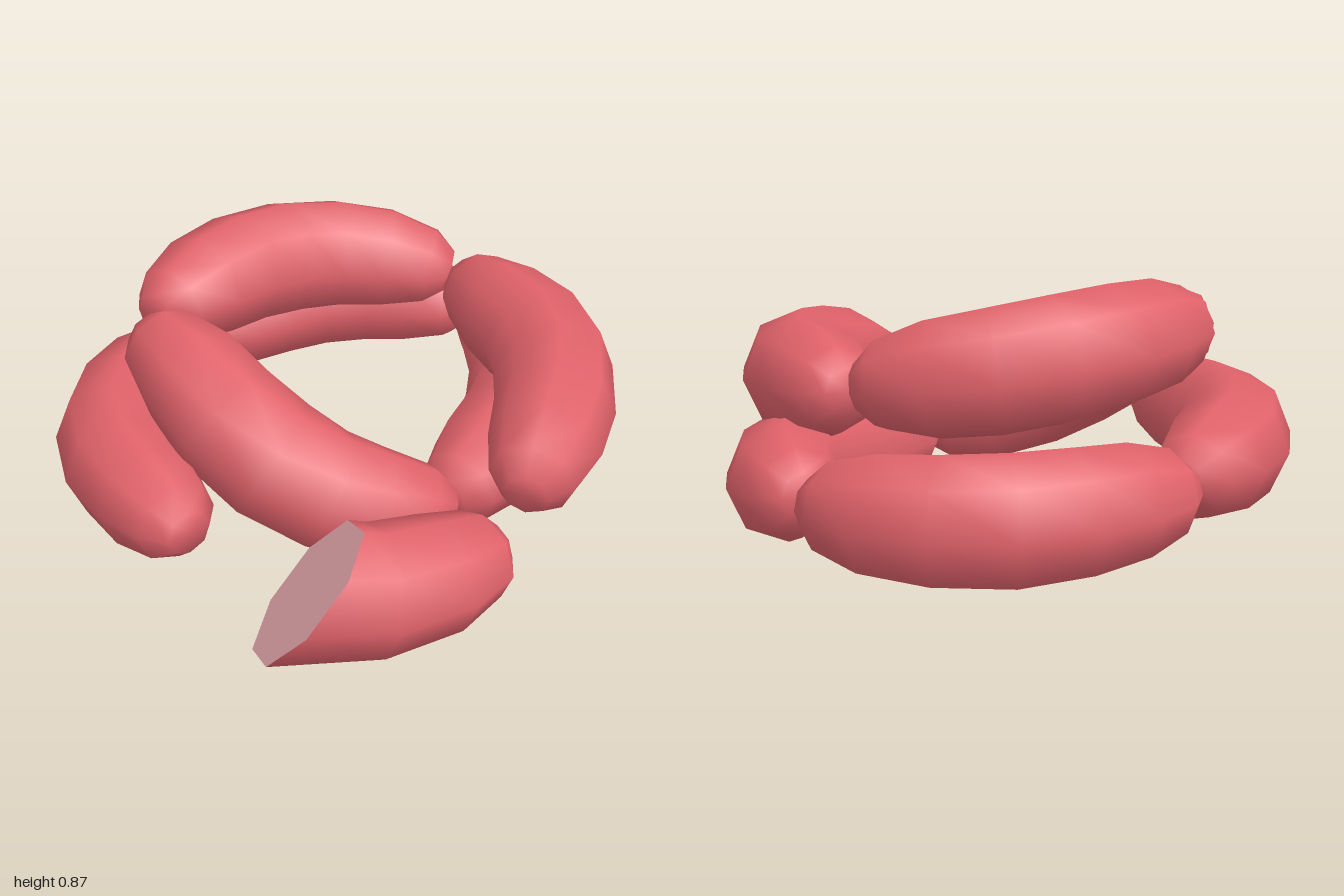
import * as THREE from 'three';

const SIDES = 8;
// Rings along a link: [position along the path, radius]
const WHOLE = [[0, 0.075], [0.06, 0.14], [0.19, 0.185], [0.34, 0.2], [0.5, 0.206],
  [0.66, 0.2], [0.81, 0.185], [0.94, 0.14], [1, 0.075]];
const HALF = [[0, 0.075], [0.1, 0.145], [0.34, 0.185], [0.68, 0.2], [1, 0.203]];

// Axis points of each whole link
const LINKS = {
  backLeftLink: [[-0.18, 0.28, -0.88], [-0.36, 0.28, -0.8], [-0.52, 0.28, -0.71], [-0.68, 0.28, -0.53],
    [-0.75, 0.28, -0.32], [-0.775, 0.28, -0.13], [-0.8, 0.28, 0.08]],
  backRightLowerLink: [[-0.15, 0.29, -0.87], [0.06, 0.26, -0.81], [0.24, 0.23, -0.69], [0.38, 0.21, -0.48],
    [0.44, 0.2, -0.25], [0.49, 0.17, 0.04]],
  backRightUpperLink: [[-0.04, 0.55, -0.64], [0.2, 0.525, -0.59], [0.4, 0.505, -0.535], [0.58, 0.48, -0.4],
    [0.7, 0.45, -0.21], [0.83, 0.39, 0.08]],
  leftUpperLink: [[-0.08, 0.57, -0.63], [-0.28, 0.61, -0.48], [-0.42, 0.64, -0.31], [-0.49, 0.665, -0.1],
    [-0.5, 0.68, 0.1], [-0.45, 0.68, 0.46]],
  frontLeftLowerLink: [[-0.76, 0.28, 0.1], [-0.69, 0.28, 0.3], [-0.6, 0.28, 0.5], [-0.46, 0.28, 0.66],
    [-0.3, 0.28, 0.75], [-0.14, 0.28, 0.79], [0.11, 0.28, 0.83]],
  frontUpperLink: [[-0.42, 0.66, 0.52], [-0.2, 0.6, 0.54], [-0.03, 0.51, 0.54], [0.15, 0.39, 0.48],
    [0.33, 0.26, 0.33], [0.53, 0.18, 0.07]],
};
const CUT_LINK = [[0.83, 0.28, 0.22], [0.8, 0.285, 0.42], [0.745, 0.305, 0.62], [0.63, 0.355, 0.83]];
const CUT_NORMAL = new THREE.Vector3(-0.56, 0.68, 0.48).normalize();

// One ring of points around the path, optionally slid along the axis onto a cutting plane
function ringPoints(curve, t, radius, normal) {
  const centre = curve.getPointAt(t);
  const axis = curve.getTangentAt(t);
  const side = new THREE.Vector3(0, 1, 0).cross(axis).normalize();
  const up = axis.clone().cross(side);
  return Array.from({ length: SIDES }, (_, i) => {
    const a = (i / SIDES) * Math.PI * 2;
    const offset = side.clone().multiplyScalar(Math.cos(a) * radius).addScaledVector(up, Math.sin(a) * radius);
    if (normal) offset.addScaledVector(axis, -offset.dot(normal) / axis.dot(normal));
    return offset.add(centre);
  });
}

function makeGeometry(points, index) {
  const geometry = new THREE.BufferGeometry().setFromPoints(points);
  geometry.setIndex(index);
  geometry.computeVertexNormals();
  return geometry;
}

// Skin of a link: rings joined by quads, with a fan closing each rounded end
function linkGeometry(curve, rings, normal) {
  const points = [];
  const index = [];
  rings.forEach(([t, r], k) => {
    const isCut = normal && k === rings.length - 1;
    points.push(...ringPoints(curve, t, r, isCut ? normal : null));
    if (k === 0) return;
    for (let i = 0; i < SIDES; i++) {
      const j = (i + 1) % SIDES;
      const a = (k - 1) * SIDES, b = k * SIDES;
      index.push(a + i, a + j, b + j, a + i, b + j, b + i);
    }
  });
  const last = (rings.length - 1) * SIDES;
  const start = points.push(curve.getPointAt(0)) - 1;
  for (let i = 0; i < SIDES; i++) index.push(start, (i + 1) % SIDES, i);
  if (!normal) {
    const end = points.push(curve.getPointAt(1)) - 1;
    for (let i = 0; i < SIDES; i++) index.push(end, last + i, last + ((i + 1) % SIDES));
  }
  return makeGeometry(points, index);
}

const toCurve = (pts) => new THREE.CatmullRomCurve3(pts.map((p) => new THREE.Vector3(...p)));

export function createModel() {
  const model = new THREE.Group();
  model.name = 'sausageLinks';
  const skin = new THREE.MeshStandardMaterial({ color: 0xe0626a });
  skin.name = 'sausage red';
  const meat = new THREE.MeshStandardMaterial({ color: 0xe0a5aa });
  meat.name = 'pale pink meat';

  const add = (name, geometry, material, parent = model) => {
    const mesh = new THREE.Mesh(geometry, material);
    mesh.name = name;
    parent.add(mesh);
  };

  // Whole links
  for (const [name, pts] of Object.entries(LINKS)) add(name, linkGeometry(toCurve(pts), WHOLE), skin);

  // Sliced link with its exposed face
  const cut = new THREE.Group();
  cut.name = 'slicedLink';
  model.add(cut);
  const curve = toCurve(CUT_LINK);
  add('slicedLinkSkin', linkGeometry(curve, HALF, CUT_NORMAL), skin, cut);
  const face = [...ringPoints(curve, 1, HALF[HALF.length - 1][1], CUT_NORMAL), curve.getPointAt(1)];
  const fan = [];
  for (let i = 0; i < SIDES; i++) fan.push(SIDES, i, (i + 1) % SIDES);
  add('slicedFace', makeGeometry(face, fan), meat, cut);

  return model;
}
